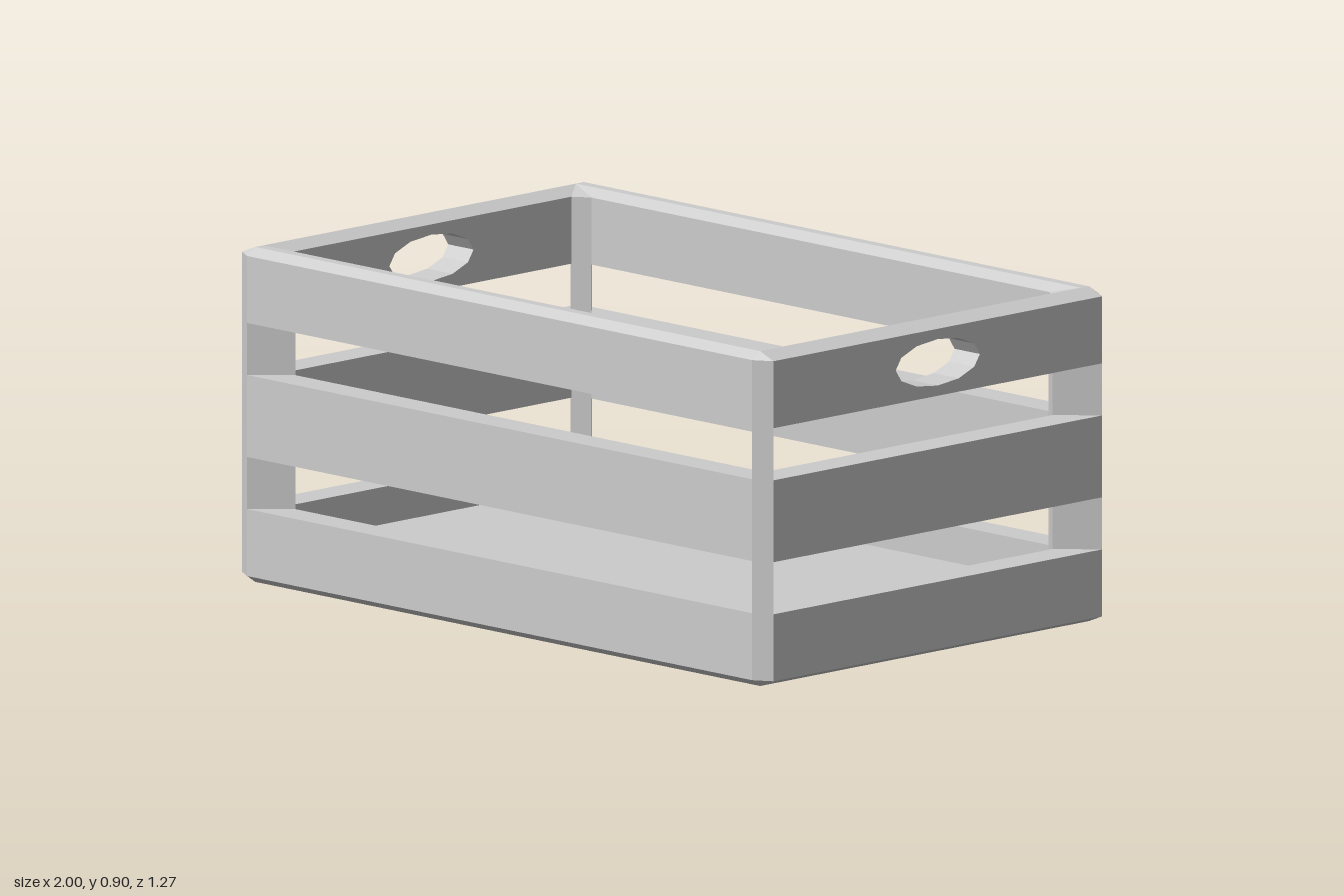
import * as THREE from 'three';

const grey = new THREE.MeshStandardMaterial({ color: 0xcccccc });
grey.name = 'grey';

// Flat-shaded skin between successive rings of points; skip(ring, side) leaves faces open.
function loft(rings, skip = () => false) {
  const pos = [];
  const tri = (a, b, c) => {
    const area = b.clone().sub(a).cross(c.clone().sub(a)).length();
    if (area > 1e-7) for (const p of [a, b, c]) pos.push(p.x, p.y, p.z);
  };
  for (let r = 0; r < rings.length - 1; r++) {
    const lo = rings[r], hi = rings[r + 1], n = lo.length;
    for (let i = 0; i < n; i++) {
      if (skip(r, i)) continue;
      const j = (i + 1) % n;
      tri(lo[i], lo[j], hi[j]);
      tri(lo[i], hi[j], hi[i]);
    }
  }
  const g = new THREE.BufferGeometry();
  g.setAttribute('position', new THREE.Float32BufferAttribute(pos, 3));
  g.computeVertexNormals();
  return g;
}

// Rectangle with cut corners, lying at height y.
function octagon(X, Z, y, cx = 0, cz = 0) {
  const x = X - cx, z = Z - cz;
  return [[X, z], [X, -z], [x, -Z], [-x, -Z], [-X, -z], [-X, z], [-x, Z], [x, Z]]
    .map(([px, pz]) => new THREE.Vector3(px, y, pz));
}
const outer = y => octagon(1, 0.635, y, 0.05, 0.03);
const inner = y => octagon(0.905, 0.545, y, 0.045, 0.03);

// Handle hole: twelve-sided oval
const HOLE = { y: 0.79, rz: 0.155, ry: 0.0625 };
const holePoints = Array.from({ length: 12 }, (_, i) => {
  const a = i * Math.PI / 6;
  return [Math.cos(a) * HOLE.rz, HOLE.y + Math.sin(a) * HOLE.ry];
});

// Flat end wall pierced by the handle hole
function piercedWall(x, halfWidth, facing) {
  const s = new THREE.Shape([[-halfWidth, 0.7], [halfWidth, 0.7], [halfWidth, 0.88], [-halfWidth, 0.88]]
    .map(p => new THREE.Vector2(...p)));
  s.holes.push(new THREE.Path(holePoints.map(p => new THREE.Vector2(...p))));
  return new THREE.ShapeGeometry(s).rotateY(facing * Math.PI / 2).translate(x, 0, 0);
}

export function createModel() {
  const crate = new THREE.Group();
  crate.name = 'crate';
  const add = (name, geometry) => {
    const m = new THREE.Mesh(geometry, grey);
    m.name = name;
    crate.add(m);
  };

  // Base tray: bevelled bottom, lowest slats and floor
  add('base', loft([
    octagon(0, 0, 0), octagon(0.95, 0.605, 0), outer(0.02), outer(0.2),
    inner(0.2), inner(0.1), octagon(0, 0, 0.1),
  ]));

  // Middle slats
  add('middleSlats', loft([outer(0.34), outer(0.56), inner(0.56), inner(0.34), outer(0.34)]));

  // Bevelled rim, left open where the pierced end walls go
  add('rim', loft([
    outer(0.7), outer(0.88), octagon(0.95, 0.605, 0.9), octagon(0.949, 0.575, 0.9),
    inner(0.88), inner(0.7), outer(0.7),
  ], (r, i) => (r === 0 || r === 4) && (i === 0 || i === 4)));

  for (const s of [1, -1]) {
    const side = s > 0 ? 'left' : 'right';
    add(side + 'HandleOuterWall', piercedWall(s, 0.605, s));
    add(side + 'HandleInnerWall', piercedWall(s * 0.905, 0.515, -s));
    const xs = s > 0 ? [0.905, 1] : [-1, -0.905];
    add(side + 'HandleHole', loft(xs.map(x => holePoints.map(([z, y]) => new THREE.Vector3(x, y, z)))));
  }

  // Diagonal corner posts in the gaps between slats
  const post = [[0.95, 0.635], [1, 0.605], [0.905, 0.515], [0.86, 0.545]];
  for (const sx of [1, -1]) for (const sz of [1, -1]) for (const [y0, y1] of [[0.2, 0.34], [0.56, 0.7]]) {
    const ring = y => {
      const pts = post.map(([x, z]) => new THREE.Vector3(sx * x, y, sz * z));
      return sx * sz > 0 ? pts : pts.reverse();
    };
    add('cornerPost', loft([ring(y0), ring(y1)]));
  }
  return crate;
}
